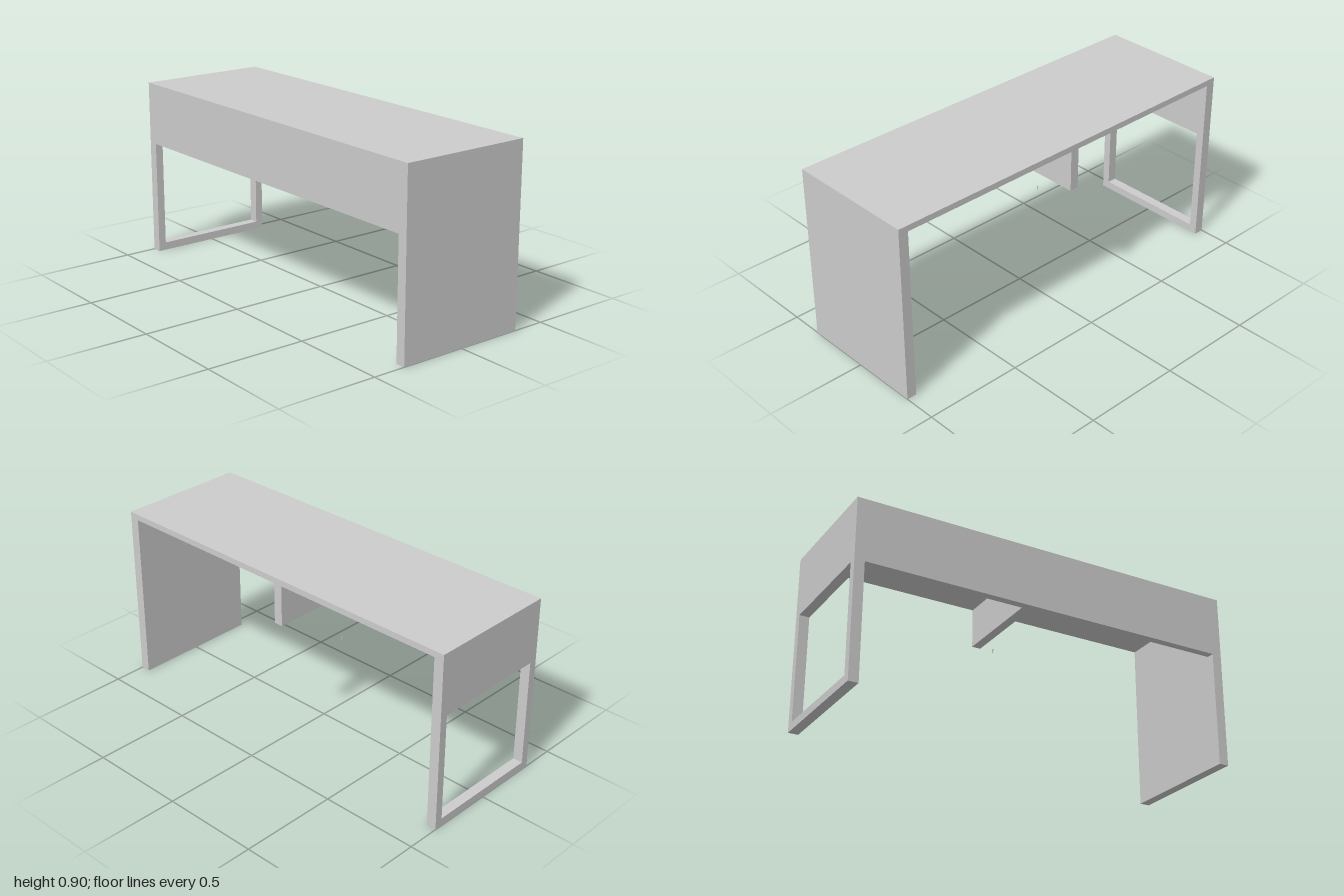
import * as THREE from 'three';

const H = 0.9;          // overall height
const D = 0.67;         // depth
const T = 0.05;         // thickness of the side boards
const TOP = 0.03;       // thickness of the desktop
const APRON_Y = 0.585;  // lower edge of the apron
const RAIL = 0.04;      // width of the open frame's bars

export function createModel() {
  const desk = new THREE.Group();
  desk.name = 'desk';
  const material = new THREE.MeshStandardMaterial({ color: 0xcccccc });

  const add = (name, geometry) => {
    const mesh = new THREE.Mesh(geometry, material);
    mesh.name = name;
    desk.add(mesh);
    return mesh;
  };

  // Box given by its lower and upper limits on each axis
  const board = (name, [x0, x1], [y0, y1], [z0, z1]) =>
    add(name, new THREE.BoxGeometry(x1 - x0, y1 - y0, z1 - z0))
      .position.set((x0 + x1) / 2, (y0 + y1) / 2, (z0 + z1) / 2);

  const back = -D / 2, front = D / 2;
  const inner = 1 - T;

  // Desktop, front apron and solid left side
  board('desktop', [-inner, inner], [H - TOP, H], [back, front]);
  board('frontApron', [-inner, inner], [APRON_Y, H - TOP], [front - RAIL, front]);
  board('leftSidePanel', [inner, 1], [0, H], [back, front]);

  // Right side: one board with a large opening below the apron
  const side = new THREE.Shape();
  side.moveTo(back, 0).lineTo(front, 0).lineTo(front, H).lineTo(back, H).closePath();
  const opening = new THREE.Path();
  opening.moveTo(back + RAIL, RAIL).lineTo(back + RAIL, APRON_Y)
    .lineTo(front - RAIL, APRON_Y).lineTo(front - RAIL, RAIL).closePath();
  side.holes.push(opening);
  const frame = new THREE.ExtrudeGeometry(side, { depth: T, bevelEnabled: false });
  frame.rotateY(-Math.PI / 2).translate(-inner, 0, 0);
  add('rightSideFrame', frame);

  // Middle rib hanging under the desktop
  board('middleRib', [-0.053, -0.007], [0.663, H - TOP], [back, front - RAIL]);

  // Tiny loose pin below the desktop
  board('smallPin', [-0.122, -0.118], [0.475, 0.495], [-0.002, 0.002]);

  return desk;
}
